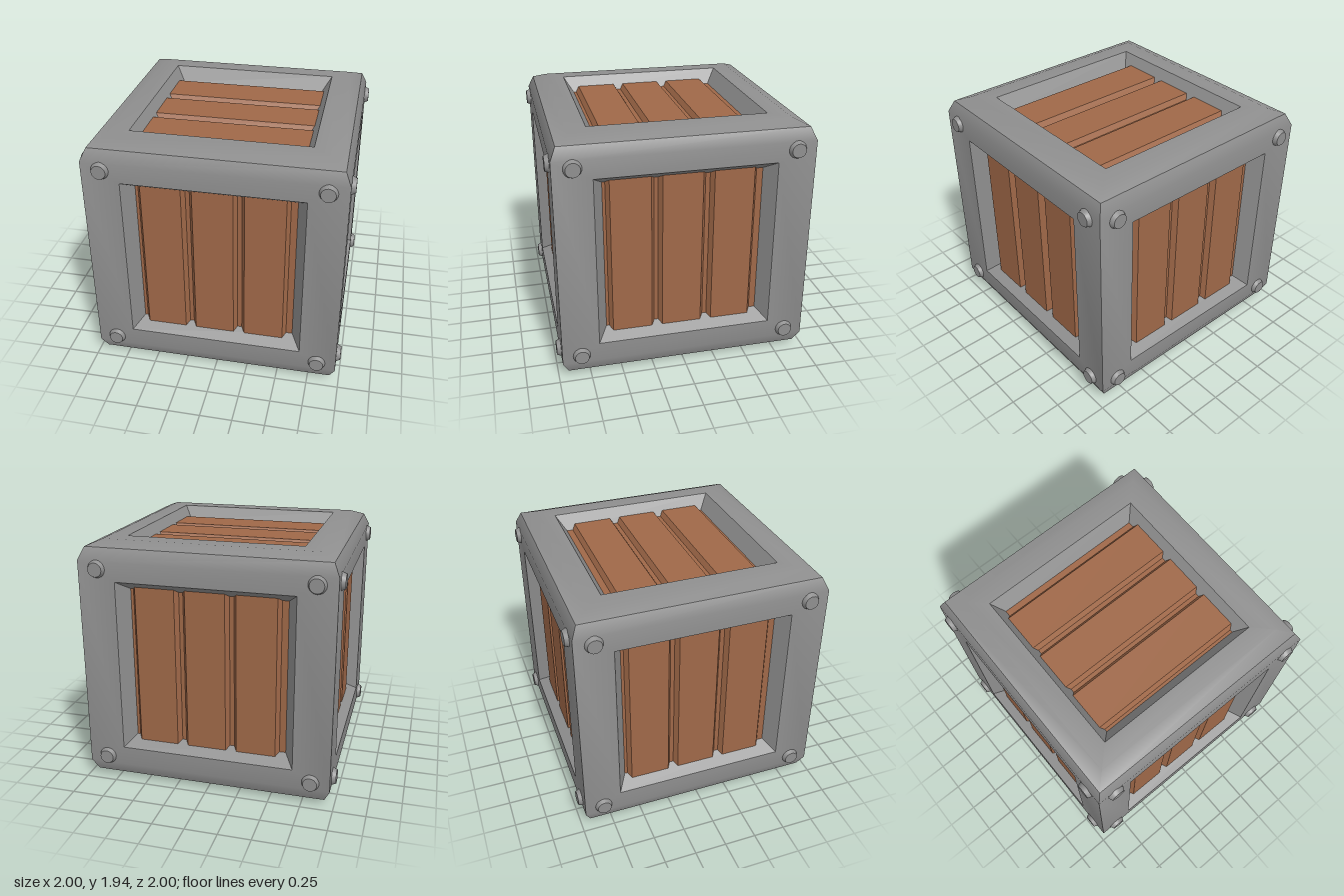
import * as THREE from 'three';
import { toCreasedNormals } from 'three/addons/utils/BufferGeometryUtils.js';

const R = 0.968;       // half size of the frame
const FLOOR = 0.85;    // distance of the recessed backing from the centre
const FACE = 0.89;     // distance of the plank faces from the centre

// Surface facing +z through rectangular rings [halfWidth, halfHeight, z], inner to outer
function ringSurface(rings) {
  const pos = [];
  const corner = ([a, b, z], i) => [[-a, -b, z], [a, -b, z], [a, b, z], [-a, b, z]][i % 4];
  for (let r = 0; r + 1 < rings.length; r++) {
    for (let i = 0; i < 4; i++) {
      const o0 = corner(rings[r + 1], i), o1 = corner(rings[r + 1], i + 1);
      const n0 = corner(rings[r], i), n1 = corner(rings[r], i + 1);
      pos.push(...o0, ...o1, ...n1, ...o0, ...n1, ...n0);
    }
  }
  return pos;
}

// Board with sloping long edges, running along y
function plankGeometry(u) {
  const shape = new THREE.Shape([
    new THREE.Vector2(u - 0.182, FLOOR - 0.005), new THREE.Vector2(u + 0.182, FLOOR - 0.005),
    new THREE.Vector2(u + 0.153, FACE), new THREE.Vector2(u - 0.153, FACE),
  ]);
  const length = 1.264;
  return new THREE.ExtrudeGeometry(shape, { depth: length, bevelEnabled: false })
    .rotateX(Math.PI / 2).translate(0, length / 2, 0);
}

export function createModel() {
  const model = new THREE.Group();
  const metal = new THREE.MeshStandardMaterial({ color: 0x8f8f8f });
  const wood = new THREE.MeshStandardMaterial({ color: 0x9f6848 });

  // Orientation of each face of the crate, starting from one that faces +z
  const turn = new THREE.Matrix4().makeRotationY(Math.PI / 2);
  const sides = [0, 1, 2, 3].map(i => ({
    name: ['front', 'left', 'back', 'right'][i],
    matrix: new THREE.Matrix4().makeRotationY(i * Math.PI / 2), upright: true,
  }));
  const caps = [-1, 1].map(s => ({
    name: s < 0 ? 'top' : 'bottom',
    matrix: turn.clone().multiply(new THREE.Matrix4().makeRotationX(s * Math.PI / 2)), upright: false,
  }));

  // Frame profiles: recess wall, flat border, and bevels on the top and bottom
  const opening = [[0.605, 0.605, FLOOR], [0.68, 0.68, R]];
  const sideRings = [...opening, [R, 0.83, R]];
  const capRings = [...opening, [0.82, 0.82, R], [0.925, 0.925, 0.925], [R, R, 0.83]];

  const framePositions = [];
  const v = new THREE.Vector3();
  const plankGeometries = [-0.404, -0.015, 0.377].map(plankGeometry);
  const backingGeometry = new THREE.PlaneGeometry(1.21, 1.21).translate(0, 0, FLOOR);
  const rivetGeometry = toCreasedNormals(
    new THREE.CylinderGeometry(0.054, 0.075, 0.05, 20).rotateX(Math.PI / 2), 0.6);

  for (const { name, matrix, upright } of [...sides, ...caps]) {
    const pos = ringSurface(upright ? sideRings : capRings);
    for (let i = 0; i < pos.length; i += 3) {
      v.fromArray(pos, i).applyMatrix4(matrix);
      framePositions.push(v.x, v.y, v.z);
    }

    // Wooden panel with three boards
    const panel = new THREE.Group();
    panel.name = name + 'Panel';
    panel.applyMatrix4(matrix);
    const backing = new THREE.Mesh(backingGeometry, wood);
    backing.name = 'backing';
    panel.add(backing);
    for (const g of plankGeometries) {
      const plank = new THREE.Mesh(g, wood);
      plank.name = 'plank';
      panel.add(plank);
    }

    // Tapered rivets in the corners of the upright faces
    if (upright) {
      for (const x of [-0.82, 0.82]) for (const y of [-0.77, 0.77]) {
        const rivet = new THREE.Mesh(rivetGeometry, metal);
        rivet.name = 'rivet';
        rivet.position.set(x, y, 0.975);
        panel.add(rivet);
      }
    }
    model.add(panel);
  }

  // Metal frame as one surface, smooth across the shallow bevels
  const frameGeometry = new THREE.BufferGeometry();
  frameGeometry.setAttribute('position', new THREE.Float32BufferAttribute(framePositions, 3));
  const frame = new THREE.Mesh(toCreasedNormals(frameGeometry, 0.6), metal);
  frame.name = 'frame';
  model.add(frame);

  // Stand the crate on the ground
  for (const part of model.children) part.position.y += R;
  return model;
}
